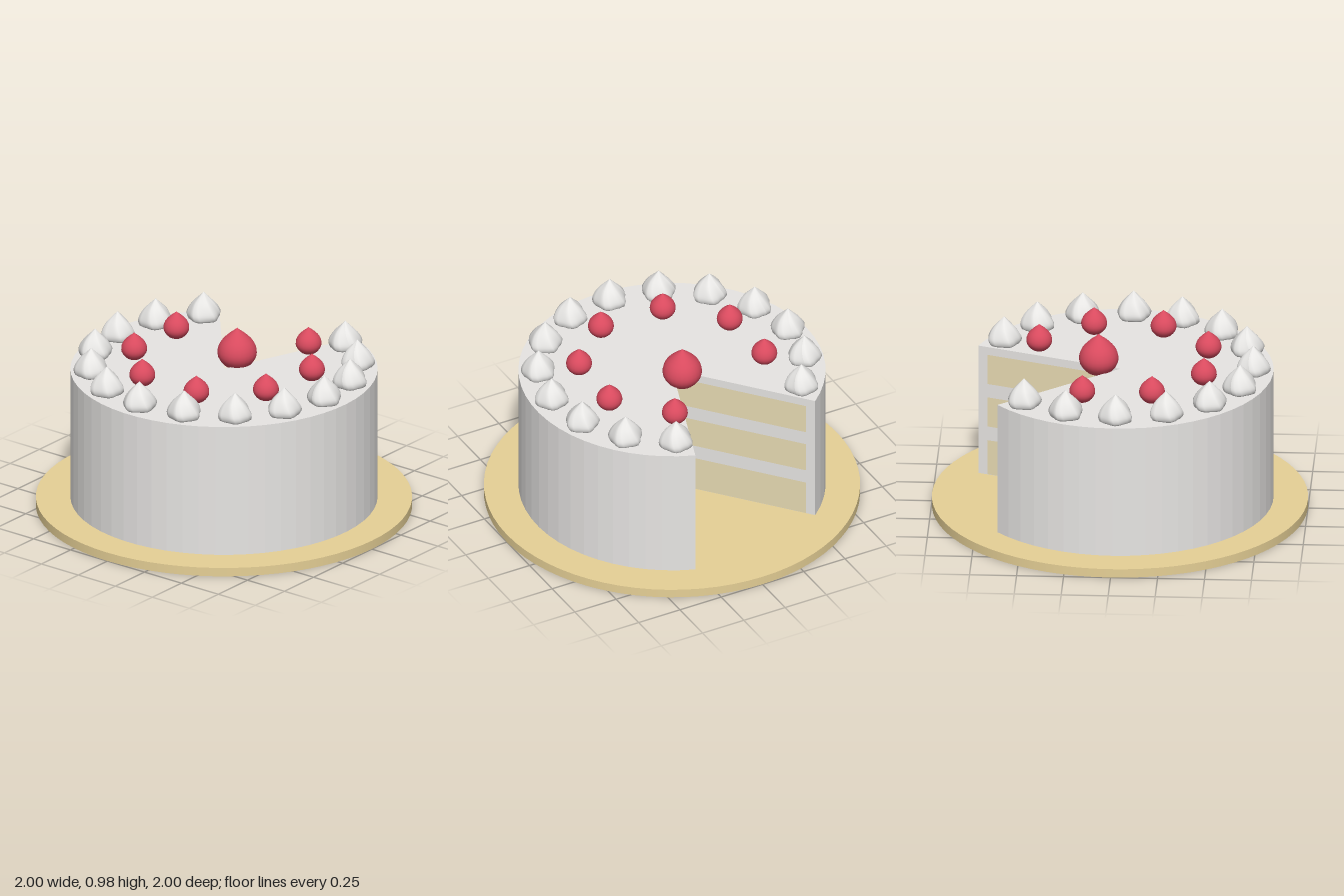
import * as THREE from 'three';

const rad = THREE.MathUtils.degToRad;
const BOARD_TOP = 0.048, CAKE_TOP = 0.782, CAKE_R = 0.8165;
const CUT = [20, -40]; // angles of the two cut faces, from +x towards +z

function material(name, color) {
  const m = new THREE.MeshStandardMaterial({ color });
  m.name = name;
  return m;
}

// Smooth turned solid from [radius, height] points
function turned(points, segments) {
  const curve = new THREE.SplineCurve(points.map(([r, y]) => new THREE.Vector2(r, y)));
  const profile = curve.getPoints(18).map((p) => new THREE.Vector2(Math.max(p.x, 0), p.y));
  return new THREE.LatheGeometry(profile, segments);
}

// Piped cream: five pointed lobes that twist towards the tip
function dollopGeometry() {
  const g = turned([[0, 0], [0.07, 0], [0.087, 0.022], [0.083, 0.05],
    [0.06, 0.09], [0.026, 0.127], [0, 0.154]], 20);
  const p = g.attributes.position;
  for (let i = 0; i < p.count; i++) {
    const x = p.getX(i), y = p.getY(i), z = p.getZ(i);
    const a = Math.atan2(z, x), r = Math.hypot(x, z) * (1 + 0.075 * Math.cos(5 * a));
    p.setXYZ(i, r * Math.cos(a + 4 * y), y, r * Math.sin(a + 4 * y));
  }
  g.computeVertexNormals();
  return g;
}

export function createModel() {
  const cake = new THREE.Group();
  cake.name = 'cutCake';
  const gold = material('gold board', 0xe6d096);
  const icing = material('icing', 0xe9e7e5);
  const cream = material('piped cream', 0xeeedeb);
  const sponge = material('sponge', 0xe9dcb4);
  const red = material('berry red', 0xd84a5e);

  const add = (name, geometry, mat, x = 0, y = 0, z = 0, parent = cake) => {
    const mesh = new THREE.Mesh(geometry, mat);
    mesh.name = name;
    mesh.position.set(x, y, z);
    parent.add(mesh);
    return mesh;
  };
  const group = (name) => {
    const g = new THREE.Group();
    g.name = name;
    cake.add(g);
    return g;
  };

  // Board
  add('board', new THREE.CylinderGeometry(1, 1, BOARD_TOP, 72), gold, 0, BOARD_TOP / 2, 0);

  // Cake body with one slice removed
  const start = rad(-CUT[1]), end = rad(360 - CUT[0]);
  const outline = new THREE.Shape();
  outline.moveTo(0, 0);
  outline.lineTo(CAKE_R * Math.cos(start), CAKE_R * Math.sin(start));
  outline.absarc(0, 0, CAKE_R, start, end, false);
  outline.lineTo(0, 0);
  const body = new THREE.ExtrudeGeometry(outline, {
    depth: CAKE_TOP - BOARD_TOP, bevelEnabled: false, curveSegments: 24,
  });
  body.rotateX(-Math.PI / 2);
  add('cakeBody', body, icing, 0, BOARD_TOP, 0);

  // Sponge layers: thin faces just proud of both cut sides
  const layers = group('spongeLayers');
  for (const a of CUT) {
    const side = new THREE.Group();
    side.name = 'cutSide';
    side.rotation.y = -rad(a);
    layers.add(side);
    const facing = -Math.sign(a); // towards the gap
    for (const [low, high] of [[0.05, 0.246], [0.325, 0.493], [0.57, 0.738]]) {
      const layer = add('spongeLayer', new THREE.PlaneGeometry(0.762, high - low), sponge,
        0.383, (low + high) / 2, facing * 0.002, side);
      if (facing < 0) layer.rotation.y = Math.PI;
    }
  }

  // Ring of piped cream, with a berry inside every other one
  const dollop = dollopGeometry();
  const berry = turned([[0, -0.96], [0.52, -0.82], [0.9, -0.42], [1, 0],
    [0.84, 0.48], [0.45, 0.9], [0.17, 1.12], [0, 1.27]], 24);
  const dollops = group('creamRing'), berries = group('berryRing');
  for (let i = 0; i < 14; i++) {
    const a = rad(27 + 22 * i), c = Math.cos(a), s = Math.sin(a);
    add('creamDollop', dollop, cream, 0.71 * c, CAKE_TOP, 0.71 * s, dollops).rotation.y = -a;
    if (i % 2 === 0) {
      add('berry', berry, red, 0.495 * c, 0.849, 0.495 * s, berries).scale.setScalar(0.069);
    }
  }

  // Large berry near the tip of the cut
  add('centreBerry', berry, red, 0.113, 0.848, 0).scale.setScalar(0.105);
  return cake;
}
